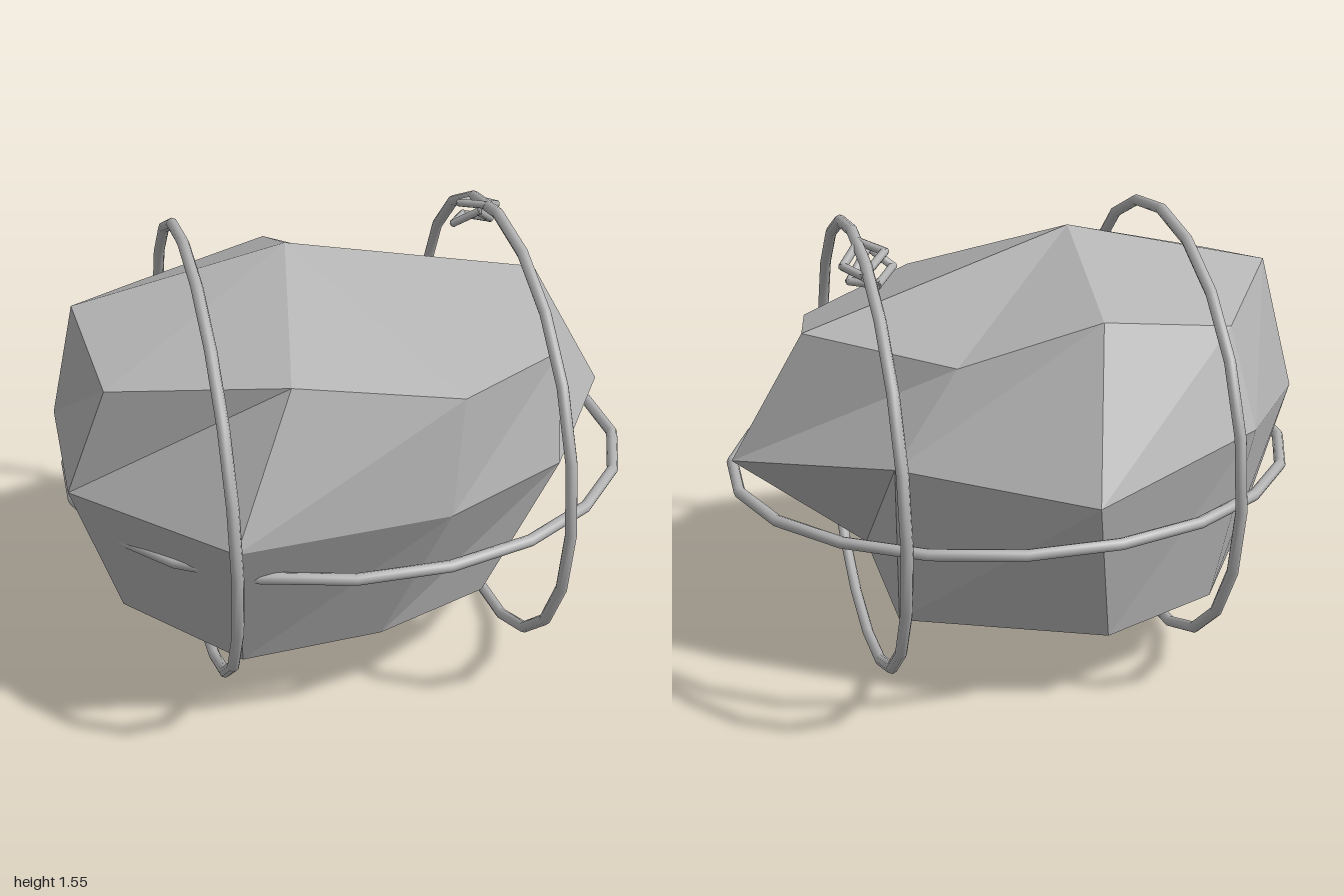
import * as THREE from 'three';

const stone = new THREE.MeshStandardMaterial({ color: 0xb2b2b2 });
stone.name = 'plain grey';

// Rock rings [x, y, z], starting at the front of -x and running past +z to +x
const upper = [
  [-0.86, 1.255, 0.425], [-0.315, 1.305, 0.63], [0.235, 1.206, 0.645],
  [0.67, 1.155, 0.31], [0.737, 1.255, -0.16], [0.28, 1.185, -0.42],
  [-0.18, 1.325, -0.495], [-0.65, 1.24, -0.4], [-0.91, 1.342, -0.03],
];
const middle = [
  [-0.995, 0.885, 0.38], [-0.53, 0.855, 0.81], [0.18, 0.83, 0.72],
  [0.65, 0.793, 0.43], [0.985, 0.806, -0.1], [0.5, 0.88, -0.47],
  [-0.08, 0.835, -0.82], [-0.7, 0.92, -0.54], [-0.995, 0.9, -0.14],
];
const lower = [
  [-0.84, 0.334, 0.25], [-0.48, 0.25, 0.545], [0, 0.275, 0.54],
  [0.4, 0.297, 0.41], [0.525, 0.385, 0.02], [0.485, 0.285, -0.385],
  [-0.17, 0.278, -0.65], [-0.58, 0.3, -0.51], [-0.8, 0.32, -0.18],
];
const top = [-0.2, 1.507, 0];
const bottom = [-0.08, 0.06, 0.05];

// Faceted rock: two bands of triangles closed by a fan at each pole
function rockGeometry() {
  const pos = [];
  const tri = (a, b, c) => pos.push(...a, ...b, ...c);
  for (let i = 0; i < 9; i++) {
    const j = (i + 1) % 9;
    tri(upper[i], upper[j], top);
    for (const [low, high] of [[middle, upper], [lower, middle]]) {
      tri(low[i], low[j], high[j]);
      tri(low[i], high[j], high[i]);
    }
    tri(lower[j], lower[i], bottom);
  }
  const g = new THREE.BufferGeometry();
  g.setAttribute('position', new THREE.Float32BufferAttribute(pos, 3));
  g.computeVertexNormals();
  return g;
}

// Closed oval with corners at equal angles
class Oval extends THREE.Curve {
  constructor(a, b, offset) {
    super();
    Object.assign(this, { a, b, offset });
  }
  getPoint(t, target = new THREE.Vector3()) {
    const w = t * Math.PI * 2 + this.offset;
    return target.set(this.a * Math.cos(w), this.b * Math.sin(w), 0);
  }
  getTangent(t, target = new THREE.Vector3()) {
    const w = t * Math.PI * 2 + this.offset;
    return target.set(-this.a * Math.sin(w), this.b * Math.cos(w), 0).normalize();
  }
  getUtoTmapping(u) { return u; }
}

function ropeLoop(name, a, b, offset) {
  const g = new THREE.TubeGeometry(new Oval(a, b, offset), 20, 0.02, 8, true);
  const mesh = new THREE.Mesh(g, stone);
  mesh.name = name;
  return mesh;
}

// Angular knot loop made of four short bars
function knotLoop(name, corners) {
  const loop = new THREE.Group();
  loop.name = name;
  const pts = corners.map((c) => new THREE.Vector3(...c));
  pts.forEach((p, i) => {
    const dir = pts[(i + 1) % pts.length].clone().sub(p);
    const length = dir.length();
    const bar = new THREE.Mesh(new THREE.CylinderGeometry(0.014, 0.014, length + 0.012, 8), stone);
    bar.name = 'knotBar';
    bar.position.copy(p).addScaledVector(dir, 0.5);
    bar.quaternion.setFromUnitVectors(new THREE.Vector3(0, 1, 0), dir.normalize());
    loop.add(bar);
  });
  return loop;
}

export function createModel() {
  const model = new THREE.Group();
  model.name = 'boundRock';

  const rock = new THREE.Mesh(rockGeometry(), stone);
  rock.name = 'rock';
  model.add(rock);

  // Two upright ropes
  for (const side of [-1, 1]) {
    const rope = ropeLoop(side < 0 ? 'rightRope' : 'leftRope', 0.842, 0.757, 0);
    rope.rotation.y = Math.PI / 2;
    rope.position.set(side * 0.535, 0.782, 0);
    model.add(rope);
  }

  // Level rope around the waist
  const waist = ropeLoop('waistRope', 0.98, 0.815, Math.PI / 20);
  waist.rotation.x = Math.PI / 2;
  waist.position.y = 0.7;
  model.add(waist);

  // Knot on top of the left rope
  const knot = new THREE.Group();
  knot.name = 'knot';
  knot.add(
    knotLoop('lowerKnotLoop', [[0.43, 1.455, -0.15], [0.5, 1.435, -0.27], [0.58, 1.435, -0.21], [0.5, 1.51, -0.1]]),
    knotLoop('upperKnotLoop', [[0.46, 1.515, -0.18], [0.55, 1.475, -0.3], [0.6, 1.485, -0.21], [0.53, 1.53, -0.1]]),
  );
  model.add(knot);
  return model;
}
